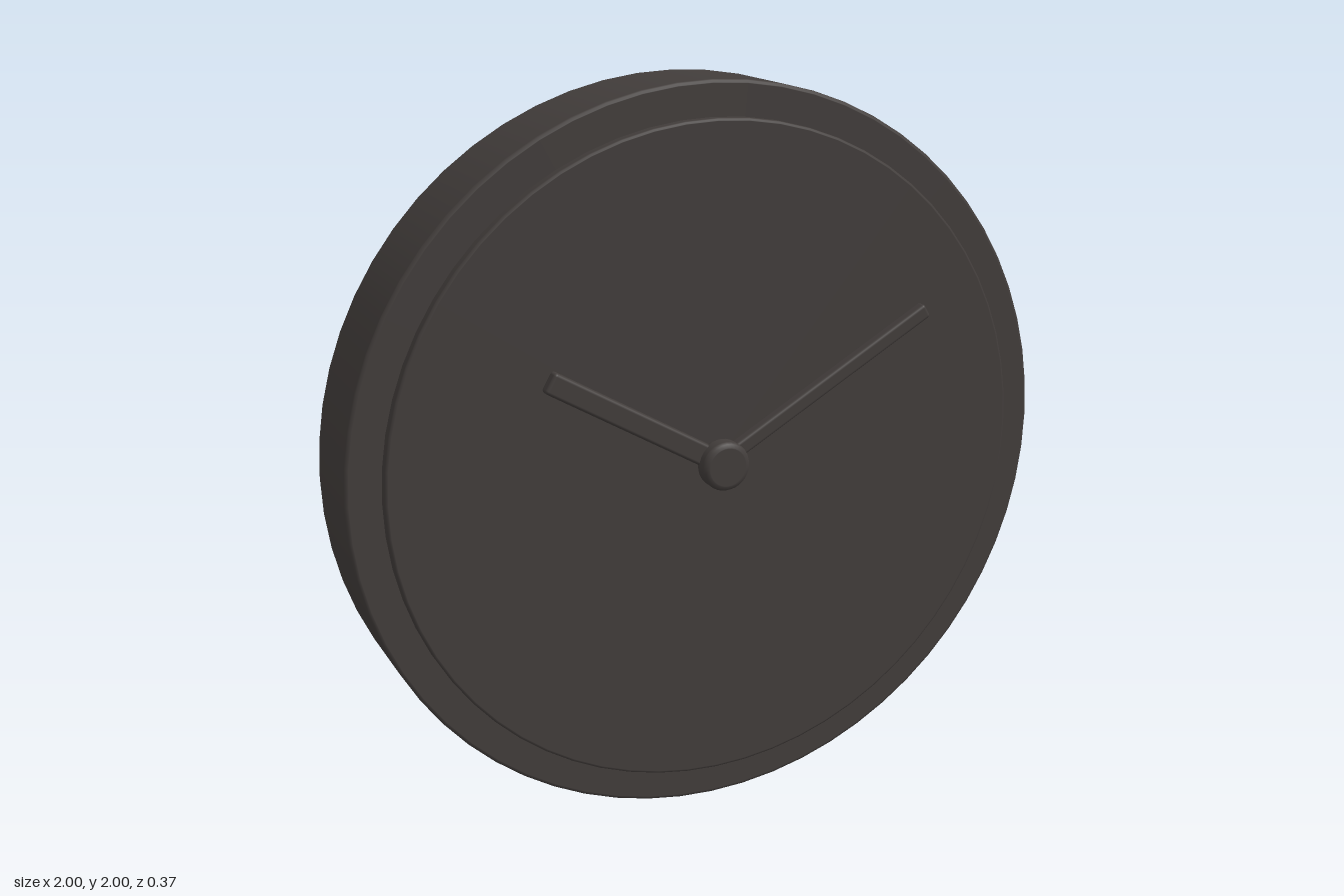
import * as THREE from 'three';
import { RoundedBoxGeometry } from 'three/addons/geometries/RoundedBoxGeometry.js';

export function createModel() {
  const clock = new THREE.Group();
  clock.name = 'wallClock';
  const charcoal = new THREE.MeshStandardMaterial({ color: 0x423d3b });
  charcoal.name = 'charcoal';

  function add(name, geometry) {
    const mesh = new THREE.Mesh(geometry, charcoal);
    mesh.name = name;
    mesh.position.y = 1;
    clock.add(mesh);
    return mesh;
  }

  // Round plate facing +z with softly bevelled rims
  function disc(name, radius, back, front, bevel, sides) {
    const b = bevel, c = bevel * 0.3;
    const profile = [
      [0, back], [radius - b * 1.2, back], [radius - b, back],
      [radius - c, back + c], [radius, back + b], [radius, back + b * 1.2],
      [radius, front - b * 1.2], [radius, front - b], [radius - c, front - c],
      [radius - b, front], [radius - b * 1.2, front], [0, front],
    ].map(([r, z]) => new THREE.Vector2(r, z));
    return add(name, new THREE.LatheGeometry(profile, sides).rotateX(Math.PI / 2));
  }

  // Slim hand running from the centre out to its tip
  function hand(name, length, width, angle) {
    const geometry = new RoundedBoxGeometry(length, width, 0.036, 3, 0.009);
    geometry.translate(length / 2, 0, 0.129);
    geometry.rotateZ(THREE.MathUtils.degToRad(angle));
    return add(name, geometry);
  }

  disc('case', 1, -0.185, 0.085, 0.008, 64);
  disc('dial', 0.906, 0.07, 0.116, 0.006, 64);
  hand('hourHand', 0.55, 0.06, 150);
  hand('minuteHand', 0.715, 0.042, 30);
  disc('centreCap', 0.067, 0.125, 0.183, 0.013, 32);

  return clock;
}
